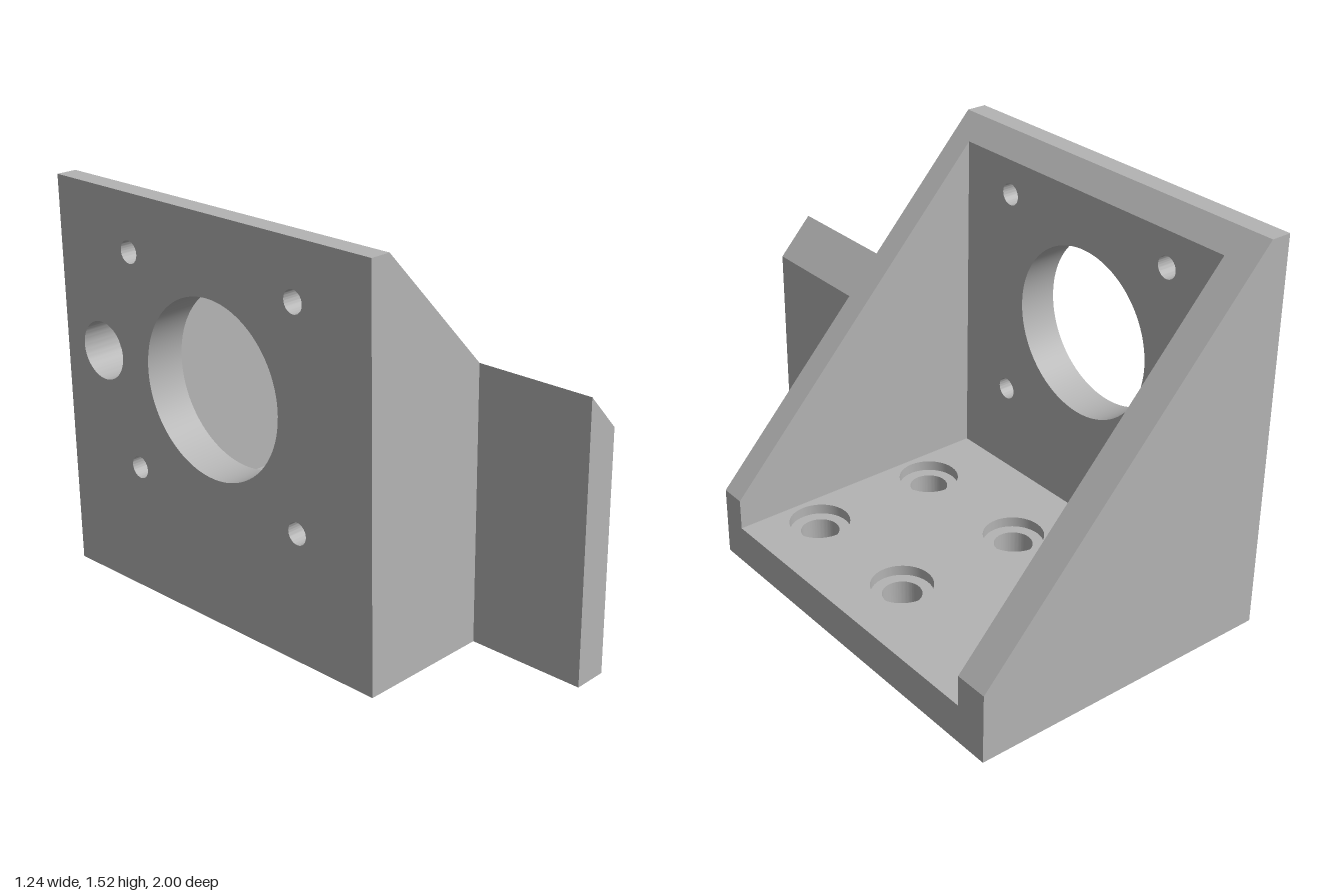
import * as THREE from 'three';
import { toCreasedNormals } from 'three/addons/utils/BufferGeometryUtils.js';

const grey = new THREE.MeshStandardMaterial({ color: 0xb4b4b4 });
grey.name = 'grey';

// Main dimensions
const X0 = -0.62, X1 = 0.62, WALL = -0.465, LIP = -0.54;
const BACK = -1, POCKET_BACK = -0.87, POCKET_FRONT = 0.44, FRONT = 0.54;
const TOP = 1.52, TOE = 0.27, FLOOR = 0.15, BORE = 0.11;

// Height of the sloping edge at a given x
const slope = (x) => TOP + ((TOE - TOP) * (x - LIP)) / (X1 - LIP);

// Extrudes an outline with round holes [u, v, radius]
function plate(points, depth, holes = []) {
  const shape = new THREE.Shape(points.map(([u, v]) => new THREE.Vector2(u, v)));
  for (const [u, v, r] of holes) {
    shape.holes.push(new THREE.Path().absarc(u, v, r, 0, Math.PI * 2, true));
  }
  const geo = new THREE.ExtrudeGeometry(shape, { depth, bevelEnabled: false, curveSegments: 48 });
  return toCreasedNormals(geo, 0.5);
}

const rect = (u0, v0, u1, v1) => [[u0, v0], [u1, v0], [u1, v1], [u0, v1]];

export function createModel() {
  const model = new THREE.Group();
  model.name = 'mountingBracket';
  const add = (name, geo) => {
    const mesh = new THREE.Mesh(geo, grey);
    mesh.name = name;
    model.add(mesh);
  };

  // Upright plate: outline drawn in (-z, y), extruded along x
  const wallHoles = [[0.215, 0.895, 0.33], [0.795, 0.9, 0.11]];
  for (const u of [-0.195, 0.62]) {
    for (const v of [0.49, 1.305]) wallHoles.push([u, v, 0.042]);
  }
  add('motorPlate', plate(rect(-FRONT, 0, -BACK, slope(WALL)), WALL - X0, wallHoles)
    .rotateY(Math.PI / 2).translate(X0, 0, 0));

  // Bevelled top rail of the upright plate
  add('topRail', plate(
    [[X0, slope(WALL)], [WALL, slope(WALL)], [LIP, TOP], [X0, TOP]], FRONT - BACK,
  ).translate(0, 0, BACK));

  // Sloping side walls and the narrow fin on the front
  const gusset = (name, x0, x1, z0, z1) => add(name, plate(
    [[x0, 0], [x1, 0], [x1, slope(x1)], [x0, slope(x0)]], z1 - z0,
  ).translate(0, 0, z0));
  gusset('backSideWall', WALL, X1, BACK, POCKET_BACK);
  gusset('frontSideWall', WALL, X1, POCKET_FRONT, FRONT);
  gusset('frontFin', -0.1, 0.03, FRONT, 1);

  // Base in two layers: screw holes below, wider counterbores above
  const layer = (name, y0, y1, r) => {
    const holes = [];
    for (const x of [-0.16, 0.36]) for (const z of [-0.22, 0.3]) holes.push([x, -z, r]);
    add(name, plate(rect(WALL, -POCKET_FRONT, X1, -POCKET_BACK), y1 - y0, holes)
      .rotateX(-Math.PI / 2).translate(0, y0, 0));
  };
  layer('baseLower', 0, BORE, 0.073);
  layer('baseUpper', BORE, FLOOR, 0.115);

  return model;
}
